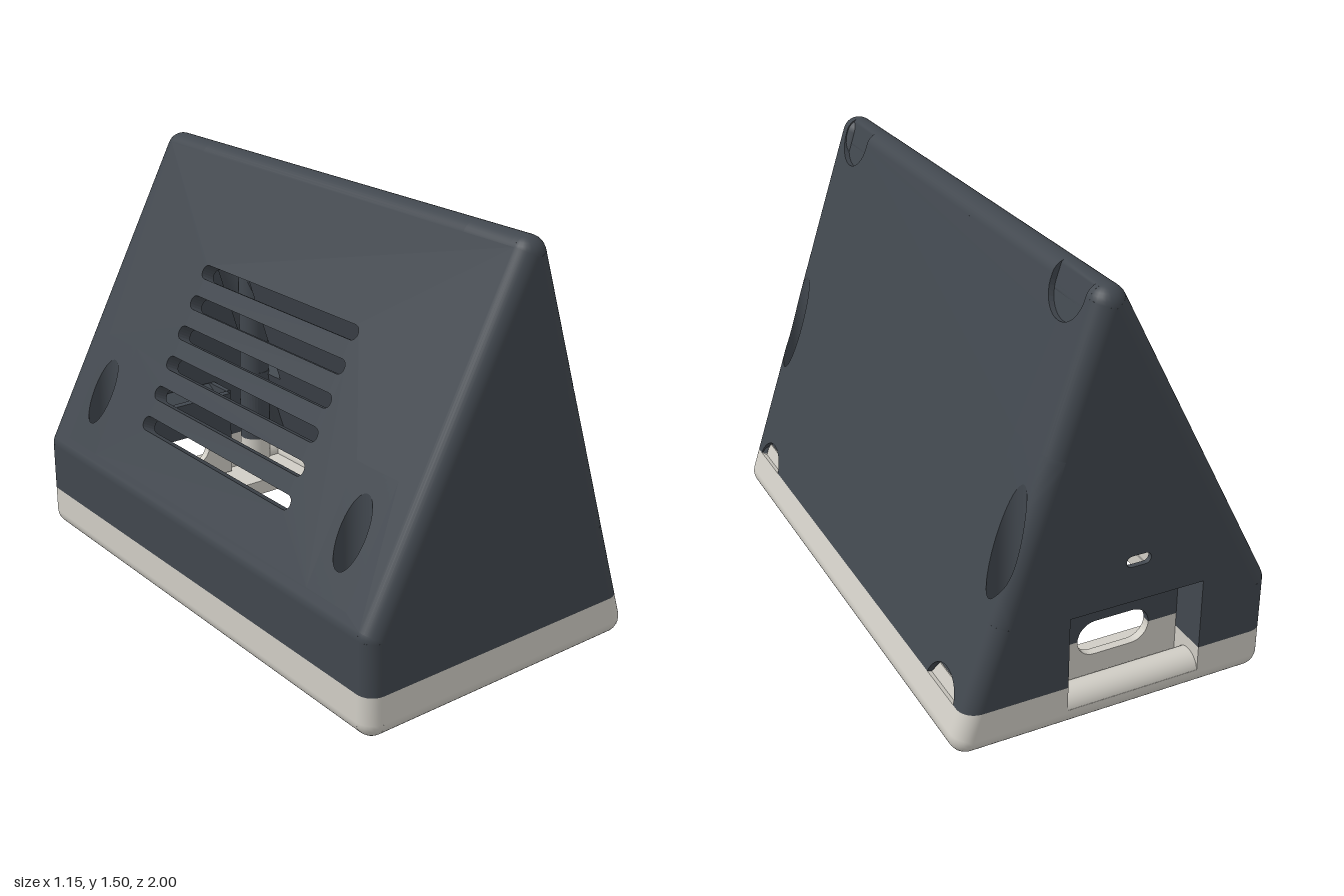
import * as THREE from 'three';

const R = 0.06, W = 0.94, SPLIT = 0.16;
const V2 = (x, y) => new THREE.Vector2(x, y);
const V3 = (x, y, z) => new THREE.Vector3(x, y, z);

export function createModel() {
  const model = new THREE.Group();
  const dark = new THREE.MeshStandardMaterial({ name: 'charcoal', color: 0x41474e, side: THREE.DoubleSide });
  const cream = new THREE.MeshStandardMaterial({ name: 'warmGrey', color: 0xd0cdc5, side: THREE.DoubleSide });

  const add = (name, geo, mat) => {
    const m = new THREE.Mesh(geo, mat);
    m.name = name;
    model.add(m);
    return m;
  };
  const outline = (pts) => pts.map(([x, y]) => V2(x, y));
  const extrude = (pts, holes, depth) => {
    const shape = new THREE.Shape(outline(pts));
    holes.forEach((h) => shape.holes.push(new THREE.Path(outline(h))));
    return new THREE.ExtrudeGeometry(shape, { depth, bevelEnabled: false });
  };
  const box = (name, x0, x1, y0, y1, z0, z1, mat) => add(name,
    new THREE.BoxGeometry(x1 - x0, y1 - y0, z1 - z0).translate((x0 + x1) / 2, (y0 + y1) / 2, (z0 + z1) / 2), mat);
  const arc = (cx, cy, rx, ry, a0, a1, n = 20) => Array.from({ length: n + 1 }, (_, i) => {
    const a = a0 + ((a1 - a0) * i) / n;
    return [cx + rx * Math.cos(a), cy + ry * Math.sin(a)];
  });
  const rect = (x0, x1, y0, y1) => [[x0, y0], [x1, y0], [x1, y1], [x0, y1]];

  // Centres of the rounded corners in cross-section
  const P = { right: V2(0.515, 0.06), apex: V2(0.06, 1.44), left: V2(-0.515, 0.345), base: V2(-0.515, 0.06) };
  const xSplit = P.right.x + (P.apex.x - P.right.x) * ((SPLIT - P.right.y) / (P.apex.y - P.right.y));

  // A sloping side: start point, direction up the slope, outward normal
  const slope = (c, out) => {
    const d = P.apex.clone().sub(c), len = d.length();
    d.normalize();
    const n = V2(d.y * out, -d.x * out);
    return { c, d, n, len, sAtY: (y) => (y - c.y - R * n.y) / d.y };
  };
  const rs = slope(P.right, 1), ls = slope(P.left, -1);
  const panel = (name, sl, pts, holes, thick, inset, mat) => {
    const x = V3(sl.d.x, sl.d.y, 0).cross(V3(sl.n.x, sl.n.y, 0));
    const m = new THREE.Matrix4().makeBasis(x, V3(sl.d.x, sl.d.y, 0), V3(sl.n.x, sl.n.y, 0)).setPosition(sl.c.x, sl.c.y, 0);
    add(name, extrude(pts, holes, thick).translate(0, 0, R - thick - inset).applyMatrix4(m), mat);
  };

  // Rounded edge; move(p, t) can trim its vertices
  const edge = (name, a, b, mat, move) => {
    const dir = b.clone().sub(a), len = dir.length();
    dir.normalize();
    const g = new THREE.CylinderGeometry(R, R, len, 40, 1);
    g.applyQuaternion(new THREE.Quaternion().setFromUnitVectors(V3(0, 1, 0), dir));
    const mid = a.clone().add(b).multiplyScalar(0.5);
    g.translate(mid.x, mid.y, mid.z);
    if (move) {
      const pos = g.attributes.position, p = V3();
      for (let i = 0; i < pos.count; i++) {
        p.fromBufferAttribute(pos, i);
        move(p, p.clone().sub(a).dot(dir) / len, dir);
        pos.setXYZ(i, p.x, p.y, p.z);
      }
      g.computeVertexNormals();
    }
    add(name, g, mat);
  };
  const level = (end) => (p, t, dir) => {
    if ((t > 0.5) === (end === 1)) p.addScaledVector(dir, (SPLIT - p.y) / dir.y);
  };
  const along = (sl, s, z) => V3(sl.c.x + sl.d.x * s, sl.c.y + sl.d.y * s, z);
  const at = (v, z) => V3(v.x, v.y, z);

  const s1 = rs.sAtY(0.46), s2 = rs.sAtY(1.0);
  const l1 = 0.03, l2 = 0.46;
  const ball = (v, z, mat) => add('roundedCorner', new THREE.SphereGeometry(R, 24, 16).translate(v.x, v.y, z), mat);

  for (const z of [-W, W]) {
    ball(P.right, z, cream); ball(P.base, z, cream);
    ball(P.apex, z, dark); ball(P.left, z, dark);
    const seamR = V3(xSplit, SPLIT, z), seamL = V3(-0.515, SPLIT, z);
    edge('baseCornerEdge', at(P.right, z), seamR, cream, level(1));
    edge('shellCornerEdge', seamR, along(rs, s1, z), dark, level(0));
    edge('shellCornerEdge', along(rs, s2, z), at(P.apex, z), dark);
    edge('baseCornerEdge', at(P.base, z), seamL, cream);
    edge('shellCornerEdge', seamL, at(P.left, z), dark);
    edge('shellCornerEdge', at(P.left, z), at(P.apex, z), dark);
    edge('baseEndEdge', at(P.base, z), at(P.right, z), cream);
  }
  edge('baseSideEdge', at(P.right, -W), at(P.right, W), cream);
  edge('baseSideEdge', at(P.base, -W), at(P.base, W), cream, (p) => { p.x = Math.min(p.x, -0.515); });
  edge('shellSideEdge', at(P.left, -W), at(P.left, W), dark);
  // Ridge, flattened where the two round pockets run over it
  const POCKET = 0.02;
  const flatten = (p) => {
    const h = (p.x - P.apex.x) * rs.n.x + (p.y - P.apex.y) * rs.n.y - (R - POCKET);
    if (h > 0) { p.x -= rs.n.x * h; p.y -= rs.n.y * h; }
  };
  [-W, -0.92, -0.72, 0.72, 0.92, W].forEach((z, i, a) => {
    if (i) edge('ridge', at(P.apex, a[i - 1]), at(P.apex, z), dark, i === 2 || i === 4 ? flatten : null);
  });

  // Upright side wall
  box('baseSideWall', -0.575, -0.54, 0.06, SPLIT, -W, W, cream);
  box('shellSideWall', -0.575, -0.54, SPLIT, P.left.y, -W, W, dark);

  // Vented slope with rectangular openings for the screw wells
  const slots = [0, 1, 2, 3, 4, 5].map((i) => {
    const s = (-0.46 + 0.055 * i - (P.left.x + ls.n.x * R)) / ls.d.x, h = 0.026;
    return [...arc(0.424, s, h, h, -Math.PI / 2, Math.PI / 2, 8), ...arc(-0.424, s, h, h, Math.PI / 2, Math.PI * 1.5, 8)];
  });
  panel('ventedSlope', ls, rect(-W, W, 0, ls.len),
    [...slots, rect(0.66, 0.86, l1, l2), rect(-0.86, -0.66, l1, l2)], 0.055, 0, dark);

  // Plain slope: outer layer with round pockets, solid layer below
  const seam = rs.sAtY(SPLIT), low = rs.sAtY(0.14), high = rs.sAtY(1.45);
  const aLow = Math.asin((seam - low) / 0.1), aHigh = Math.asin((rs.len - high) / 0.1);
  const slopePoints = (pockets) => {
    const half = [
      ...(pockets ? arc(0.82, low, 0.1, 0.1, Math.PI - aLow, aLow) : []),
      [W, seam], [W, s1], [0.78, s1], [0.78, s2], [W, s2], [W, rs.len],
      ...(pockets ? arc(0.82, high, 0.1, 0.1, aHigh, -Math.PI - aHigh) : []),
    ];
    return [...half, ...half.map(([z, s]) => [-z, s]).reverse()];
  };
  panel('plainSlope', rs, slopePoints(true), [], POCKET, 0, dark);
  panel('plainSlopeLining', rs, slopePoints(false), [], 0.03, POCKET, dark);
  panel('baseSlope', rs, rect(-W, W, 0, seam), [], 0.05, 0, cream);
  for (const z of [-0.82, 0.82]) {
    const lip = rs.sAtY(0.21);
    panel('pocketLip', rs, [[z - 0.097, seam], [z + 0.097, seam], [z + 0.067, lip], [z - 0.067, lip]], [], 0.005, POCKET - 0.004, cream);
  }

  // Screw well: slope skin around a vertical round hole, its wall and its post
  const grid = (name, rows, mat) => {
    const n = rows[0].length, pos = [], idx = [];
    rows.forEach((r) => r.forEach((p) => pos.push(p.x, p.y, p.z)));
    for (let j = 0; j < rows.length - 1; j++) for (let i = 0; i < n - 1; i++) {
      const a = j * n + i;
      idx.push(a, a + n, a + 1, a + 1, a + n, a + n + 1);
    }
    const g = new THREE.BufferGeometry();
    g.setAttribute('position', new THREE.Float32BufferAttribute(pos, 3));
    g.setIndex(idx);
    g.computeVertexNormals();
    add(name, g, mat);
  };
  const screwWell = (sl, hx, hz, u0, u1, sa, sb, floor, postR, side) => {
    const surf = (u, s) => {
      const t = Math.max(0, (u - W) / R), q = R * Math.cos(t);
      return V3(sl.c.x + sl.d.x * s + sl.n.x * q, sl.c.y + sl.d.y * s + sl.n.y * q, side * (Math.min(u, W) + R * Math.sin(t)));
    };
    const corners = rect(u0, u1, sa, sb), sc = (sa + sb) / 2, N = 14, rim = [];
    corners.forEach((c, k) => {
      const e = corners[(k + 1) % 4];
      for (let i = 0; i < N; i++) rim.push([c[0] + ((e[0] - c[0]) * i) / N, c[1] + ((e[1] - c[1]) * i) / N]);
    });
    rim.push(rim[0]);
    const hole = rim.map(([u, s]) => {
      const a = Math.atan2((u - hz) / (u1 - u0), ((s - sc) / (sb - sa)) * Math.sign(sl.d.x));
      const x = hx + R * Math.cos(a), z = hz + R * Math.sin(a);
      const t = z > W ? Math.asin((z - W) / R) : 0;
      return [z > W ? W + R * t : z, (x - sl.c.x - sl.n.x * R * Math.cos(t)) / sl.d.x];
    });
    const rows = [];
    for (let j = 0; j <= 8; j++) rows.push(rim.map((b, i) =>
      surf(hole[i][0] + ((b[0] - hole[i][0]) * j) / 8, hole[i][1] + ((b[1] - hole[i][1]) * j) / 8)));
    grid('screwWellSkin', rows, dark);
    grid('screwWellWall', [rows[0], rows[0].map((p) => V3(p.x, floor, p.z))], dark);
    const ring = extrude(arc(0, 0, postR, postR, 0, Math.PI * 2, 32).slice(1), [arc(0, 0, 0.03, 0.03, 0, Math.PI * 2, 20).slice(1)], floor - SPLIT);
    add('screwPost', ring.rotateX(-Math.PI / 2).translate(hx, SPLIT, side * hz), dark);
    add('baseBoss', new THREE.CylinderGeometry(postR, postR, 0.11, 32).translate(hx, 0.105, side * hz), cream);
  };
  for (const side of [-1, 1]) {
    screwWell(rs, 0.365, 0.92, 0.78, W + (R * Math.PI) / 2, s1, s2, 0.46, 0.062, side);
    screwWell(ls, -0.45, 0.76, 0.66, 0.86, l1, l2, 0.42, 0.09, side);
  }

  // End walls; the back one is cut for the connector recess and a small slot
  const T = 0.018, x0 = -0.31, x1 = 0.18, yb = 0.07, yt = 0.42;
  const top = [[xSplit, SPLIT], [P.apex.x, P.apex.y], [P.left.x, P.left.y], [-0.515, SPLIT]];
  const bottom = [[-0.515, SPLIT], [-0.515, 0.06], [0.515, 0.06], [xSplit, SPLIT]];
  const stadium = (cx, cy, w, h) => [
    ...arc(cx + (w - h) / 2, cy, h / 2, h / 2, -Math.PI / 2, Math.PI / 2, 10),
    ...arc(cx - (w - h) / 2, cy, h / 2, h / 2, Math.PI / 2, Math.PI * 1.5, 10)];
  add('frontWall', extrude(top, [], T).translate(0, 0, 1 - T), dark);
  add('baseFrontWall', extrude(bottom, [], T).translate(0, 0, 1 - T), cream);
  add('backWall', extrude([...top, [x0, SPLIT], [x0, yt], [x1, yt], [x1, SPLIT]], [stadium(-0.06, 0.57, 0.09, 0.04)], T).translate(0, 0, -1), dark);
  add('baseBackWall', extrude([...bottom, [x1, SPLIT], [x1, yb], [x0, yb], [x0, SPLIT]], [], T).translate(0, 0, -1), cream);

  // Connector recess
  const zr = -0.86, cx = (x0 + x1) / 2, cy = 0.21;
  for (const [a, b] of [[x0 - 0.02, x0], [x1, x1 + 0.02]]) {
    box('recessSide', a, b, SPLIT, yt, -0.999, zr, dark);
    box('recessBaseSide', a, b, yb - 0.02, SPLIT, -0.999, zr, cream);
  }
  box('recessFloor', x0, x1, yb - 0.02, yb, -0.999, zr, cream);
  grid('recessRoof', [[V3(x0, yt, -1), V3(x1, yt, -1)], [V3(x0, 0.34, zr), V3(x1, 0.34, zr)]], dark);
  const hw = 0.07, hr = 0.065;
  const upper = [...arc(cx - hw, cy, hr, hr, Math.PI, Math.PI / 2, 8), ...arc(cx + hw, cy, hr, hr, Math.PI / 2, 0, 8)];
  add('recessBack', extrude([[x0, cy], ...upper, [x1, cy], [x1, yt], [x0, yt]], [], 0.03).translate(0, 0, zr), dark);
  add('recessBaseBack', extrude([[x0, cy], ...upper.map(([x, y]) => [x, 2 * cy - y]), [x1, cy], [x1, yb], [x0, yb]], [], 0.03).translate(0, 0, zr), cream);

  // Base floor with its large opening
  add('baseFloor', extrude(rect(-0.515, 0.515, -W, W), [rect(-0.51, 0.37, -0.69, 0.69)], 0.06)
    .rotateX(Math.PI / 2).translate(0, 0.06, 0), cream);

  return model;
}
